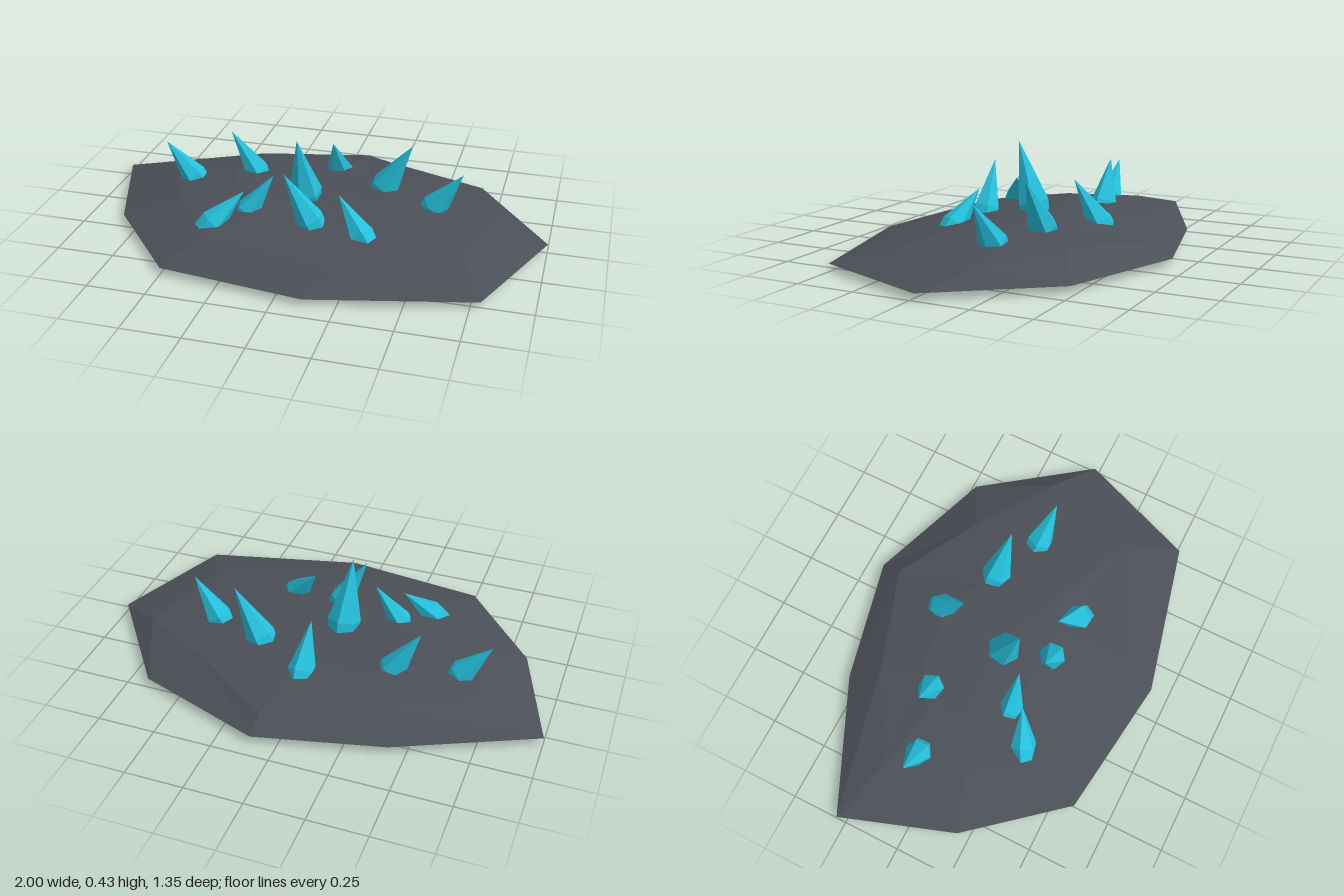
import * as THREE from 'three';

const stone = new THREE.MeshStandardMaterial({ color: 0x4b4f57 });
stone.name = 'slate grey';
const crystal = new THREE.MeshStandardMaterial({ color: 0x24c0dc });
crystal.name = 'crystal cyan';

// Split faces so every facet is flat
function faceted(geometry) {
  const flat = geometry.toNonIndexed();
  flat.computeVertexNormals();
  return flat;
}

// Low rock mound: rim, shoulder and plateau rings of [x, y, z], capped above and below
function makeRock() {
  const rim = [[-1, -0.29], [-0.43, -0.55], [0.11, -0.675], [0.66, -0.48], [1, -0.02],
    [0.79, 0.51], [0.12, 0.67], [-0.5, 0.59], [-0.83, 0.2]].map(([x, z]) => [x, 0.03, z]);
  const shoulder = [[-0.72, 0.1, -0.2], [-0.37, 0.11, -0.42], [0.1, 0.085, -0.58],
    [0.45, 0.115, -0.37], [0.8, 0.085, -0.15], [0.68, 0.09, 0.28], [0.2, 0.075, 0.5],
    [-0.38, 0.095, 0.38], [-0.6, 0.105, 0.12]];
  const plateau = [[-0.42, 0.145, -0.15], [-0.3, 0.14, -0.25], [0.05, 0.14, -0.3],
    [0.2, 0.14, -0.2], [0.3, 0.14, -0.05], [0.28, 0.14, 0.13], [0.15, 0.13, 0.2],
    [-0.2, 0.135, 0.18], [-0.38, 0.145, 0]];
  const n = rim.length;
  const points = [...rim, ...shoulder, ...plateau, [0, 0.147, 0], [0, 0.03, 0]];
  const top = 3 * n, bottom = top + 1;
  const index = [];
  for (let i = 0; i < n; i++) {
    const j = (i + 1) % n;
    for (let k = 0; k < 2 * n; k += n) {
      index.push(k + i, k + n + i, k + n + j, k + i, k + n + j, k + j);
    }
    index.push(2 * n + i, top, 2 * n + j, i, j, bottom);
  }
  const geometry = new THREE.BufferGeometry();
  geometry.setAttribute('position', new THREE.Float32BufferAttribute(points.flat(), 3));
  geometry.setIndex(index);
  const mesh = new THREE.Mesh(faceted(geometry), stone);
  mesh.name = 'rockMound';
  return mesh;
}

// Six-sided shard with a blunt foot, leaning from its foot [x, z] to its tip [x, y, z]
function makeCrystal(foot, tip, radius, turn) {
  const footRadius = radius * 0.75;
  const end = new THREE.Vector3(...tip);
  const lean = Math.atan2(Math.hypot(tip[0] - foot[0], tip[2] - foot[1]), tip[1]);
  const start = new THREE.Vector3(foot[0], 0.002 + footRadius * Math.sin(lean), foot[1]);
  const axis = end.clone().sub(start);
  const length = axis.length();
  const profile = [[0, 0], [footRadius, 0], [radius, length * 0.37], [0, length]]
    .map(([r, y]) => new THREE.Vector2(r, y));
  const mesh = new THREE.Mesh(faceted(new THREE.LatheGeometry(profile, 6, turn)), crystal);
  mesh.position.copy(start);
  mesh.quaternion.setFromUnitVectors(new THREE.Vector3(0, 1, 0), axis.normalize());
  return mesh;
}

export function createModel() {
  const model = new THREE.Group();
  model.name = 'crystalRock';
  model.add(makeRock());

  const shards = [
    [[-0.54, -0.1], [-0.73, 0.27, -0.095], 0.057],
    [[-0.27, -0.19], [-0.445, 0.32, -0.17], 0.059],
    [[0.02, -0.385], [0.02, 0.3, -0.2], 0.06],
    [[0.2, -0.18], [0.385, 0.35, -0.155], 0.065],
    [[0.44, -0.085], [0.625, 0.29, -0.05], 0.06],
    [[-0.04, -0.02], [-0.06, 0.435, 0.105], 0.073],
    [[-0.32, 0.175], [-0.15, 0.285, 0.15], 0.054],
    [[-0.445, 0.325], [-0.26, 0.23, 0.22], 0.057],
    [[0.09, 0.215], [-0.08, 0.34, 0.235], 0.06],
    [[0.32, 0.28], [0.145, 0.25, 0.19], 0.058],
  ];
  shards.forEach(([foot, tip, radius], i) => {
    const shard = makeCrystal(foot, tip, radius, i * 0.4);
    shard.name = `crystal${i + 1}`;
    model.add(shard);
  });
  return model;
}
